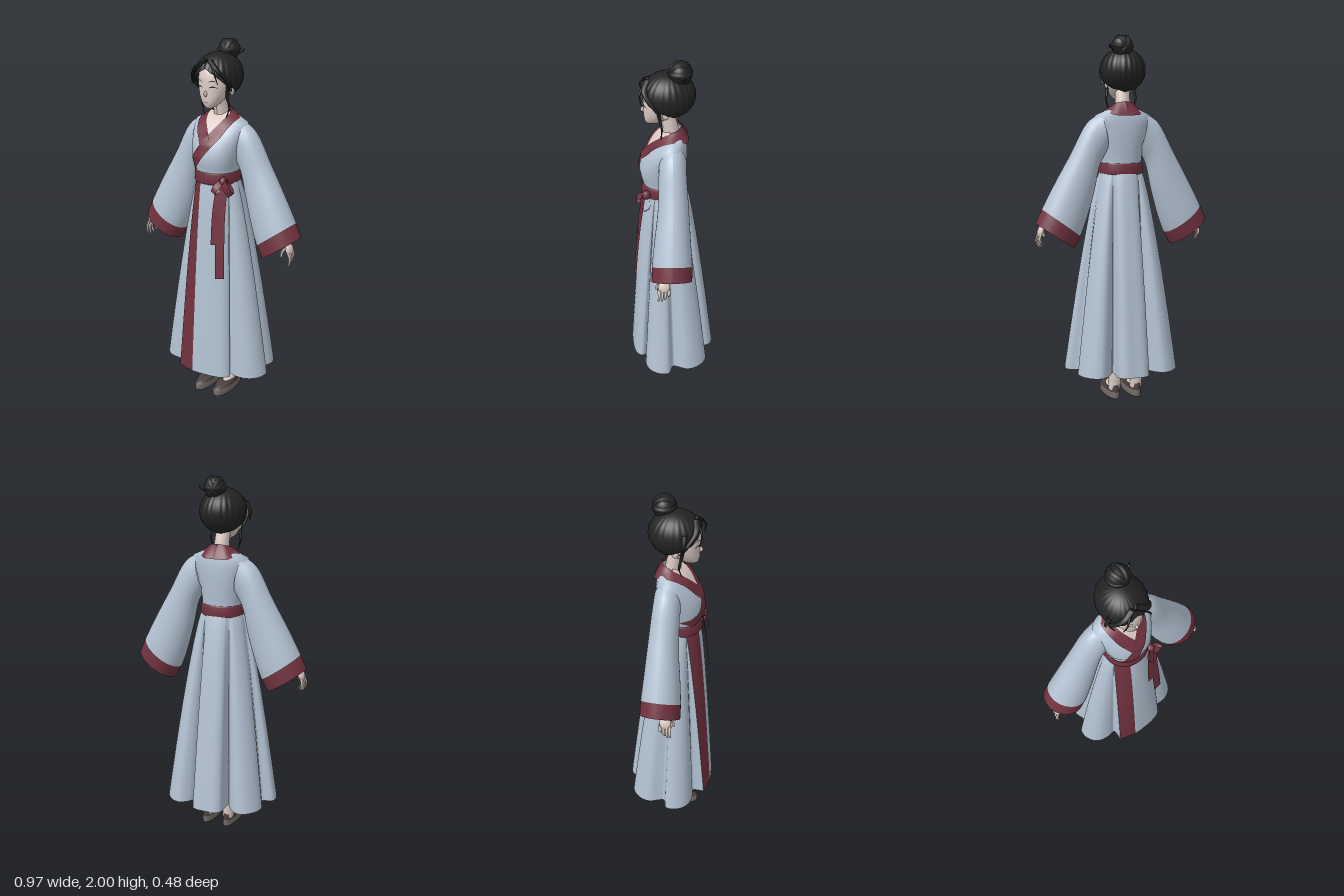
import * as THREE from 'three';

const mat = (name, color, side = THREE.DoubleSide) =>
  Object.assign(new THREE.MeshStandardMaterial({ color, side }), { name });
const P = (x, y, z) => new THREE.Vector3(x, y, z);
const TAU = Math.PI * 2;
const lerp = THREE.MathUtils.lerp;
const curve = pts => new THREE.CatmullRomCurve3(pts.map(p => P(...p)));

// Grid surface: u runs around from the front towards +x, v runs downwards
function loft(fn, nu, nv) {
  const pos = [], idx = [], w = nu + 1;
  for (let j = 0; j <= nv; j++)
    for (let i = 0; i <= nu; i++) pos.push(...fn(i / nu, j / nv));
  for (let i = 0; i < nu; i++)
    for (let j = 0; j < nv; j++) {
      const a = j * w + i, c = a + w;
      idx.push(a, c, a + 1, a + 1, c, c + 1);
    }
  const g = new THREE.BufferGeometry();
  g.setAttribute('position', new THREE.Float32BufferAttribute(pos, 3));
  g.setIndex(idx);
  g.computeVertexNormals();
  return g;
}

// Body sections [y, half width, back z, front z], listed from the top down
const TORSO = [[1.615, .06, -.055, .035], [1.6, .1, -.066, .048], [1.575, .155, -.074, .07], [1.53, .155, -.08, .11],
  [1.47, .142, -.08, .152], [1.4, .13, -.076, .17], [1.35, .117, -.072, .162], [1.31, .112, -.07, .15], [1.25, .113, -.07, .148]];
const HEAD = [[1.92, .01, 0, .04], [1.9, .055, -.05, .1], [1.85, .083, -.08, .138], [1.8, .088, -.07, .145], [1.765, .084, -.05, .142],
  [1.725, .073, -.02, .143], [1.69, .053, .02, .14], [1.668, .034, .05, .135], [1.655, .014, .085, .122], [1.653, .001, .1, .105]];
const BELT = [[1.318, .114, -.074, .154], [1.31, .12, -.08, .16], [1.265, .122, -.082, .162], [1.255, .116, -.076, .155]];
const N = 2.2, pw = s => Math.sign(s) * Math.abs(s) ** (2 / N);
const body = table => loft((u, v) => {
  const [y, hx, zb, zf] = table[Math.round(v * (table.length - 1))], a = u * TAU;
  return [hx * pw(Math.sin(a)), y, (zb + zf) / 2 + (zf - zb) / 2 * pw(Math.cos(a))];
}, 48, table.length - 1);

// Front z of a section table at (x, y)
function frontZ(table, x, y) {
  let i = 0;
  while (i < table.length - 2 && table[i + 1][0] > y) i++;
  const A = table[i], B = table[i + 1], t = THREE.MathUtils.clamp((y - A[0]) / (B[0] - A[0]), 0, 1);
  const [hx, zb, zf] = [1, 2, 3].map(k => lerp(A[k], B[k], t));
  return (zb + zf) / 2 + (zf - zb) / 2 * Math.max(0, 1 - Math.abs(x / hx) ** N) ** (1 / N);
}

// Round, mostly upright limb or lock tapering along a path
function limb(pts, r0, r1, seg = 10) {
  const c = curve(pts);
  return loft((u, v) => {
    const p = c.getPoint(v), r = lerp(r0, r1, v), a = u * TAU;
    return [p.x + r * Math.sin(a), p.y, p.z + r * Math.cos(a)];
  }, 10, seg);
}

// Flat band along a path, spread by a width vector
function ribbon(pts, d) {
  const c = curve(pts);
  return loft((u, v) => c.getPoint(v).addScaledVector(P(...d), u - .5).toArray(), 2, 20);
}

// Skirt hem for one side, from front notch to back: x, z, angle on the waist
const HEM = [[.15, .15, 64], [.19, .156, 67], [.25, .15, 73], [.295, .12, 79], [.32, .07, 85], [.315, .02, 91], [.258, -.005, 96],
  [.264, -.03, 100], [.283, -.085, 107], [.27, -.135, 114], [.225, -.185, 124], [.177, -.198, 133], [.127, -.165, 139],
  [.097, -.118, 143], [.09, -.16, 148], [.084, -.215, 154], [.055, -.238, 165]];
const PANEL = [[-.145, .215, -64], [-.045, .238, -20], [.03, .236, 0], [.1, .226, 28], [.15, .206, 50], [.168, .175, 61]];

function skirtGeometry() {
  const pts = [...PANEL, ...HEM, [0, -.24, 180],
    ...HEM.slice().reverse().map(([x, z, a]) => [-x, z, 360 - a]), [-.145, .215, 296]];
  const hem = new THREE.CatmullRomCurve3(pts.map(([x, z, a]) => P(x, a * 1e-4, z)));
  const per = 5, nu = (pts.length - 1) * per, nv = 24;
  const g = loft((u, v) => {
    const h = hem.getPoint(u), a = h.y * 1e4 * Math.PI / 180, e = v ** .78;
    return [lerp(.113 * Math.sin(a), h.x, e), lerp(1.28, .168, v), lerp(.038 + .113 * Math.cos(a), h.z, e)];
  }, nu, nv);
  const edge = per * nv * 6; // the first span is the coloured border
  g.addGroup(0, edge, 1);
  g.addGroup(edge, Infinity, 0);
  return g;
}

export function createModel() {
  const robe = mat('pale blue cloth', 0xb3c2d2), trim = mat('burgundy trim', 0x70323f), hair = mat('black hair', 0x232324),
    skin = mat('skin', 0xddccc5), shoe = mat('shoe leather', 0x4b403f), sole = mat('shoe sole', 0x746b67), lips = mat('lips', 0xb98f8a);
  const model = new THREE.Group();
  const add = (parent, name, geo, m) => {
    const mesh = new THREE.Mesh(geo, m);
    mesh.name = name;
    parent.add(mesh);
    return mesh;
  };
  const group = name => {
    const g = new THREE.Group();
    g.name = name;
    model.add(g);
    return g;
  };
  const ball = (parent, name, m, p, s) => {
    const b = add(parent, name, new THREE.SphereGeometry(1, 24, 16), m);
    b.position.set(...p);
    b.scale.set(...s);
    return b;
  };

  // Robe body
  add(model, 'bodice', body(TORSO), robe);
  add(model, 'skirt', skirtGeometry(), [robe, trim]);
  add(model, 'belt', body(BELT), trim);

  // Crossed collar, running from the nape around the neck and down the chest
  const inner = curve([[0, 1.65, -.052], [.045, 1.642, -.034], [.062, 1.625, .01], [.05, 1.59, .07], [.015, 1.54, .115],
    [-.03, 1.475, .15], [-.085, 1.4, .13], [-.122, 1.35, .06]]);
  const outer = curve([[0, 1.575, -.086], [.07, 1.578, -.078], [.11, 1.597, 0], [.1, 1.568, .075], [.065, 1.5, .13],
    [.015, 1.435, .15], [-.04, 1.365, .15], [-.09, 1.31, .1]]);
  const drape = (p, off) => [p.x, p.y, p.z > .03 ? Math.max(p.z, frontZ(TORSO, p.x, p.y) + off) : p.z];
  const collar = (s, end, off) => loft((u, v) => {
    const p = inner.getPoint(v * end).lerp(outer.getPoint(v * end), u);
    p.x *= s;
    return drape(p, off);
  }, 6, 48);
  add(model, 'collarOver', collar(1, 1, .009), trim);
  add(model, 'collarUnder', collar(-1, 5 / 7, .005), trim);
  add(model, 'chest', loft((u, v) => {
    const p = inner.getPoint((2 + 2.3 * v) / 7);
    p.x *= u * 2 - 1;
    return drape(p, .003);
  }, 10, 14), skin);

  // Sash bow and hanging tails
  const bow = group('bow');
  ball(bow, 'knot', trim, [.098, 1.28, .135], [.022, .026, .024]);
  add(bow, 'loopOuter', ribbon([[.098, 1.285, .14], [.13, 1.262, .168], [.152, 1.215, .145], [.132, 1.228, .115], [.098, 1.278, .125]], [.032, .028, 0]), trim);
  add(bow, 'loopInner', ribbon([[.098, 1.285, .14], [.078, 1.255, .18], [.066, 1.225, .185], [.076, 1.24, .16], [.098, 1.278, .145]], [.026, -.02, 0]), trim);
  add(bow, 'tailLong', ribbon([[.105, 1.27, .148], [.104, 1.1, .172], [.112, .92, .192], [.12, .758, .205]], [.05, .006, -.012]), trim);
  add(bow, 'tailShort', ribbon([[.09, 1.27, .152], [.078, 1.13, .175], [.077, .94, .193]], [.042, .004, -.006]), trim);

  // Wide sleeves, arms, hands, legs and shoes
  const top = curve([[.13, 1.585, -.003], [.2, 1.535, -.003], [.292, 1.37, -.005], [.382, 1.21, 0], [.452, 1.075, .003], [.487, 1, .005]]);
  const low = curve([[.09, 1.39, .07], [.135, 1.305, .072], [.165, 1.17, .08], [.208, 1.02, .095], [.245, .922, .105], [.28, .857, .106]]);
  for (const s of [1, -1]) {
    const side = s > 0 ? 'left' : 'right';
    const sleeve = (v0, v1, nv) => loft((u, v) => {
      const t = lerp(v0, v1, v), o = top.getPoint(t), i = low.getPoint(t), a = u * TAU, c = Math.cos(a);
      return [s * ((o.x + i.x) / 2 + (o.x - i.x) / 2 * c), (o.y + i.y) / 2 + (o.y - i.y) / 2 * c, o.z + i.z * Math.sin(a)];
    }, 40, nv);
    add(model, side + 'Sleeve', sleeve(0, .8, 20), robe);
    add(model, side + 'Cuff', sleeve(.8, 1, 4), trim);

    const hand = group(side + 'Arm');
    hand.scale.x = s;
    add(hand, 'forearm', limb([[.31, 1.2, .01], [.38, 1.09, .025], [.445, .975, .042]], .03, .019), skin);
    ball(hand, 'palm', skin, [.453, .95, .046], [.017, .034, .031]).rotation.z = .25;
    for (let i = 0; i < 4; i++) {
      const z = .072 - .017 * i, len = [.062, .07, .066, .052][i];
      add(hand, 'finger', limb([[.458, .94, z], [.472 - .003 * i, .93 - len * .5, z], [.466 - .008 * i, .93 - len, z + .003]], .0085, .005, 6), skin);
    }
    add(hand, 'thumb', limb([[.445, .965, .066], [.43, .94, .082], [.426, .912, .086]], .01, .006, 6), skin);

    const leg = group(side + 'Leg');
    leg.position.x = s * .063;
    add(leg, 'shin', limb([[0, .65, -.01], [0, .4, -.03], [-.003, .18, -.045], [0, .05, -.045]], .055, .031), skin);
    ball(leg, 'foot', skin, [0, .058, -.004], [.035, .038, .076]);
    // Shoe rings: half width, centre z, half length, height, heel rise
    const ring = rows => loft((u, v) => {
      const [w, cz, l, y, rise] = rows[Math.round(v * (rows.length - 1))], a = u * TAU, c = Math.cos(a);
      return [w * pw(Math.sin(a)) * (.9 + .1 * c), y - rise * c, cz + l * c];
    }, 32, rows.length - 1);
    add(leg, 'shoeUpper', ring([[.033, -.012, .068, .066, .012], [.039, 0, .083, .067, .01], [.045, .028, .112, .058, .003], [.047, .038, .124, .036, 0]]), shoe);
    add(leg, 'shoeSole', ring([[.046, .038, .122, .04, 0], [.049, .039, .127, .037, 0], [.049, .039, .127, .006, 0], [.045, .039, .122, 0, 0], [.001, .039, .001, 0, 0]]), sole);
  }

  // Head and face
  const head = group('head');
  head.position.x = -.006;
  add(head, 'neck', limb([[.006, 1.54, 0], [.004, 1.63, .006], [0, 1.73, .03]], .043, .038), skin);
  add(head, 'face', body(HEAD), skin);
  ball(head, 'nose', skin, [0, 1.733, .143], [.008, .015, .013]);
  const paint = (name, m, x0, x1, y, h, arch) => add(head, name, loft((u, v) => {
    const x = lerp(x0, x1, u), k = Math.sin(u * Math.PI), py = y + arch * k + h * (.5 - v) * (.3 + .7 * k);
    return [x, py, frontZ(HEAD, x, py) + .002];
  }, 12, 2), m);
  for (const s of [1, -1]) {
    paint('eyelash', hair, s * .019, s * .058, 1.765, .006, .006);
    paint('eyebrow', hair, s * .016, s * .06, 1.795, .004, .006);
    ball(head, 'ear', skin, [s * .088, 1.745, .03], [.01, .027, .018]);
  }
  paint('mouth', lips, -.016, .016, 1.692, .008, -.003);

  // Swept-up hair with shallow strand ridges
  const line = [[0, 1.862], [25, 1.832], [55, 1.778], [85, 1.75], [110, 1.718], [181, 1.698]];
  add(head, 'hairCap', loft((u, v) => {
    const a = u * TAU, d = Math.min(u, 1 - u) * 360, k = line.findIndex(l => l[0] > d);
    const y = THREE.MathUtils.mapLinear(d, line[k - 1][0], line[k][0], line[k - 1][1], line[k][1]);
    const phi = v * Math.acos((y - 1.815) / .12), r = Math.sin(phi) * (1 + .014 * Math.sin(phi) * Math.cos(24 * a));
    return [.122 * r * Math.sin(a), 1.815 + .12 * Math.cos(phi), .018 + .138 * r * Math.cos(a)];
  }, 144, 20), hair);
  ball(head, 'bun', hair, [.022, 1.942, -.042], [.058, .056, .056]);
  for (let i = 0; i < 3; i++) {
    const coil = add(head, 'bunCoil', new THREE.TorusGeometry(.045, .017, 8, 28), hair);
    coil.position.set(.022, 1.942, -.042);
    coil.rotation.set(1.2 + i * .35, i * 1.05 - 1, i * .6);
  }
  const locks = [
    [[[.006, 1.905, .115], [.06, 1.862, .135], [.1, 1.8, .095], [.098, 1.745, .06]], .018, .008],
    [[[-.002, 1.905, .115], [-.065, 1.862, .13], [-.108, 1.8, .095], [-.1, 1.745, .06]], .018, .008],
    [[[.09, 1.78, .07], [.076, 1.71, .06], [.084, 1.66, .05], [.068, 1.6, .055]], .011, .002],
    [[[-.09, 1.78, .07], [-.08, 1.71, .06], [-.086, 1.66, .05], [-.066, 1.605, .06]], .011, .002],
    [[[-.1, 1.86, .08], [-.128, 1.81, .08], [-.126, 1.765, .075]], .014, .003],
    [[[.03, 1.885, .135], [.062, 1.845, .158], [.078, 1.79, .15]], .007, .002],
    [[[-.03, 1.885, .135], [-.062, 1.845, .158], [-.08, 1.79, .15]], .007, .002],
    [[[.05, 1.91, -.04], [.095, 1.935, -.06], [.1, 1.95, -.065]], .007, .002],
  ];
  for (const [pts, r0, r1] of locks) add(head, 'hairLock', limb(pts, r0, r1, 14), hair);
  return model;
}
